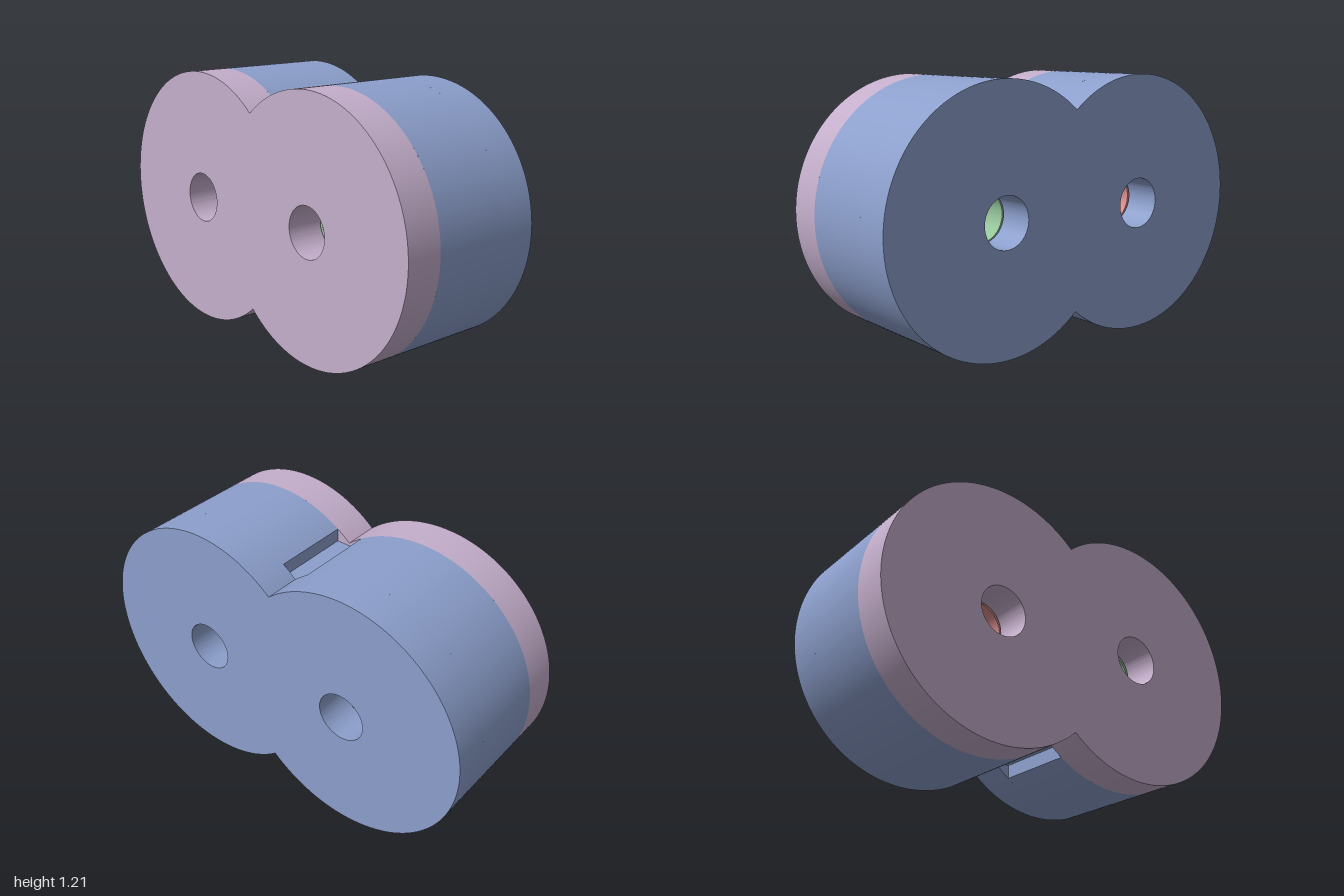
import * as THREE from 'three';
import { toCreasedNormals } from 'three/addons/utils/BufferGeometryUtils.js';

const R = 0.605, C = 0.395, CY = 0.605;   // lobe radius, lobe offset, axis height
const BORE = 0.118, Z = 0.365, ZC = 0.19; // bore radius, half depth, half chamber depth

// Two overlapping circles; w > 0 cuts a flat-bottomed port of half width w into both valleys
function lobes(target, r, w = 0, floor = 0) {
  const a = Math.acos((w - C) / r);
  target.absarc(C, 0, r, -a, a, false);
  if (w) { target.lineTo(w, floor); target.lineTo(-w, floor); }
  target.absarc(-C, 0, r, Math.PI - a, Math.PI + a, false);
  if (w) { target.lineTo(-w, -floor); target.lineTo(w, -floor); }
  target.closePath();
  return target;
}

function bore(x) {
  return new THREE.Path().absarc(x, 0, BORE, 0, Math.PI * 2, true);
}

function slab(name, shape, z0, z1, material) {
  const geo = new THREE.ExtrudeGeometry(shape, { depth: z1 - z0, bevelEnabled: false, curveSegments: 72 });
  const mesh = new THREE.Mesh(toCreasedNormals(geo, 0.4), material);
  mesh.position.set(0, CY, z0);
  mesh.name = name;
  return mesh;
}

// Toothed rotor with a central bore
function gearShape(teeth, phase) {
  const pts = [], root = 0.335, tip = 0.44, step = Math.PI * 2 / teeth;
  for (let i = 0; i < teeth; i++) {
    for (const [t, r] of [[-0.3, root], [-0.12, tip], [0.12, tip], [0.3, root]]) {
      const a = (i + t + phase) * step;
      pts.push(new THREE.Vector2(r * Math.cos(a), r * Math.sin(a)));
    }
  }
  const s = new THREE.Shape(pts);
  s.holes.push(bore(0));
  return s;
}

export function createModel() {
  const group = new THREE.Group();
  const mat = (color) => new THREE.MeshStandardMaterial({ color });
  const blue = mat(0x8c9fcc), pink = mat(0xc4aecb);

  // Housing: back wall with bores and chamber wall with a port in each valley
  const plate = lobes(new THREE.Shape(), R);
  plate.holes.push(bore(C), bore(-C));
  const wall = lobes(new THREE.Shape(), R, 0.067, 0.445);
  wall.holes.push(lobes(new THREE.Path(), 0.45));
  const housing = new THREE.Group();
  housing.name = 'housing';
  housing.add(slab('backWall', plate, -Z, -ZC, blue), slab('chamberWall', wall, -ZC, ZC, blue));

  // Front cover
  group.add(housing, slab('frontCover', plate, ZC, Z, pink));

  // Meshing gears inside the chamber
  for (const [name, x, phase, color] of [['rightGear', -C, 0, 0xd98c8c], ['leftGear', C, 0, 0x95c49a]]) {
    const gear = slab(name, gearShape(11, phase), -ZC + 0.01, ZC - 0.01, mat(color));
    gear.position.x = x;
    group.add(gear);
  }
  return group;
}
